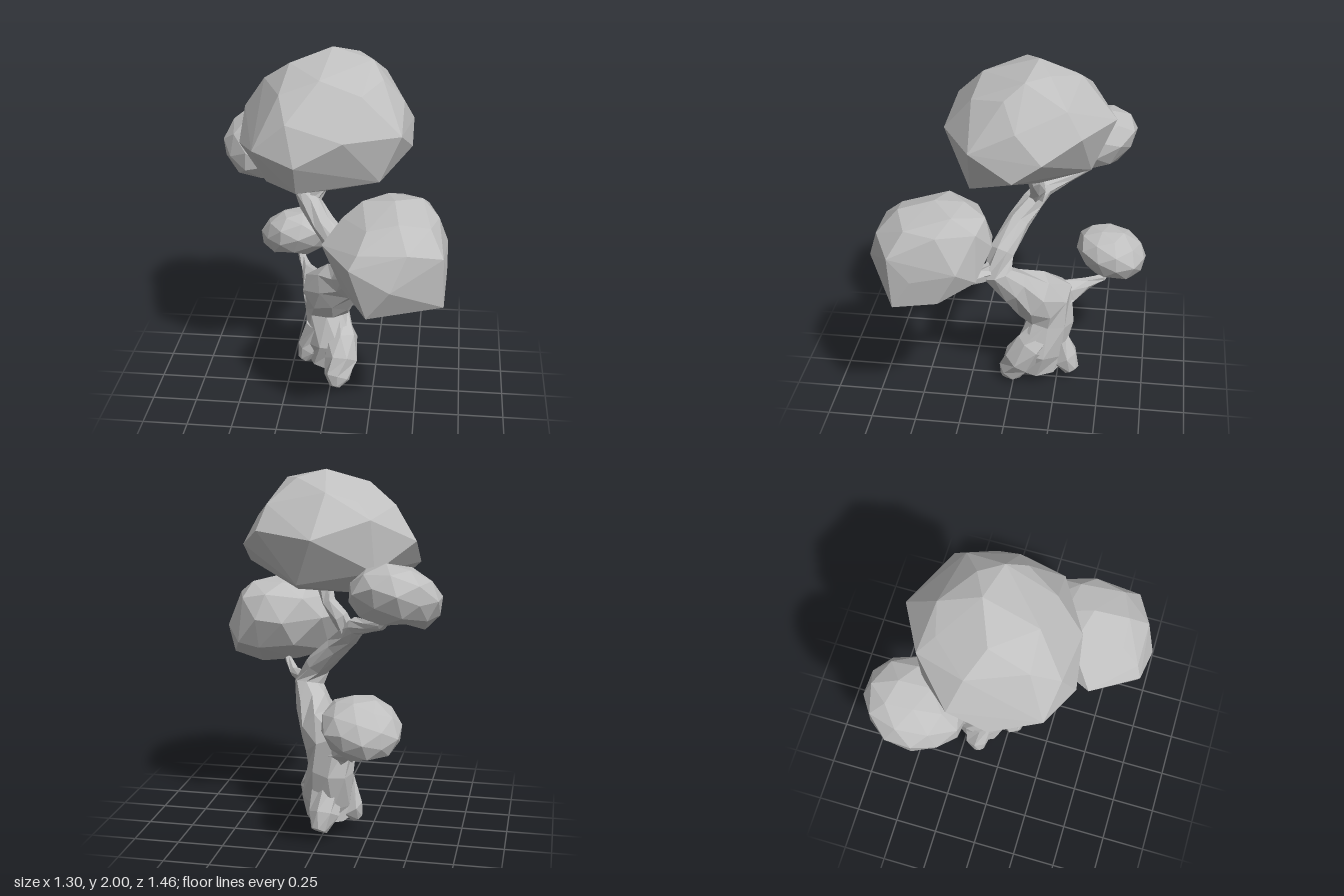
import * as THREE from 'three';
import { ConvexGeometry } from 'three/addons/geometries/ConvexGeometry.js';

const grey = new THREE.MeshStandardMaterial({ color: 0xbfbfbf, flatShading: true });
grey.name = 'clay grey';

function part(name, geometry) {
  const mesh = new THREE.Mesh(geometry, grey);
  mesh.name = name;
  return mesh;
}

// Limb through stations [x, y, z, half width across, half width along]
function limb(stations, sides = 7) {
  const across = new THREE.Vector3(1, 0, -1).normalize();
  const centres = stations.map(s => new THREE.Vector3(s[0], s[1], s[2]));
  const pos = [], idx = [], last = stations.length - 1;
  stations.forEach(([, , , a, b = a], i) => {
    const t = centres[Math.min(i + 1, last)].clone().sub(centres[Math.max(i - 1, 0)]).normalize();
    const u = across.clone().addScaledVector(t, -across.dot(t)).normalize();
    const v = t.clone().cross(u);
    for (let j = 0; j < sides; j++) {
      const w = (j + (i % 2) * 0.4) / sides * Math.PI * 2;
      const p = centres[i].clone().addScaledVector(u, a * Math.cos(w)).addScaledVector(v, b * Math.sin(w));
      pos.push(p.x, p.y, p.z);
    }
  });
  const start = pos.length / 3;
  pos.push(...centres[0].toArray(), ...centres[last].toArray());
  for (let j = 0; j < sides; j++) {
    const k = (j + 1) % sides, top = last * sides;
    for (let i = 0; i < last; i++) {
      const a = i * sides + j, b = i * sides + k;
      idx.push(a, b, b + sides, a, b + sides, a + sides);
    }
    idx.push(start, k, j, start + 1, top + j, top + k);
  }
  const g = new THREE.BufferGeometry();
  g.setAttribute('position', new THREE.Float32BufferAttribute(pos, 3));
  g.setIndex(idx);
  g.computeVertexNormals();
  return g;
}

// Faceted crown from its corner points
const hull = points => new ConvexGeometry(points.map(p => new THREE.Vector3(...p)));

// Small rounded crown: an uneven, sheared ball with a dented underside
function puff(centre, half, shearX, shearZ) {
  const g = new THREE.IcosahedronGeometry(1, 1);
  g.rotateX(0.4).rotateY(0.7);
  const p = g.attributes.position;
  for (let i = 0; i < p.count; i++) {
    const x = p.getX(i), y = p.getY(i), z = p.getZ(i);
    const r = 1 + 0.05 * Math.sin(7 * x + 3 * y) * Math.cos(5 * z - 2 * y);
    const px = x * r * half[0], pz = z * r * half[2];
    const py = (y < -0.9 ? -0.65 : y) * r * half[1];
    p.setXYZ(i, centre[0] + px, centre[1] + py + shearX * px + shearZ * pz, centre[2] + pz);
  }
  g.computeVertexNormals();
  return g;
}

export function createModel() {
  const tree = new THREE.Group();
  tree.name = 'tree';

  // Twisting trunk, running on into the upper rear branch
  tree.add(part('trunk', limb([
    [-0.02, 0.08, -0.15, 0.12, 0.14], [-0.01, 0.2, -0.15, 0.135, 0.165], [-0.04, 0.38, -0.21, 0.12, 0.14],
    [-0.04, 0.5, -0.185, 0.135, 0.175], [0.03, 0.59, -0.1, 0.125, 0.145], [0.1, 0.68, 0, 0.1, 0.1],
    [0.14, 0.78, 0.08, 0.085, 0.085], [0.085, 0.89, 0.06, 0.08, 0.07], [-0.04, 1.02, -0.02, 0.068, 0.063],
    [-0.12, 1.11, -0.09, 0.065, 0.063], [-0.17, 1.17, -0.15, 0.055, 0.05], [-0.26, 1.2, -0.27, 0.035, 0.035],
    [-0.34, 1.23, -0.38, 0.025, 0.025], [-0.39, 1.28, -0.42, 0.015, 0.015]], 8)));

  // Roots
  const roots = {
    frontRoot: [[0.01, 0.36, -0.18, 0.08], [0.05, 0.25, -0.11, 0.1], [0.06, 0.15, -0.03, 0.1, 0.09],
      [0.04, 0.06, 0.02, 0.08, 0.07], [0.03, 0.015, 0.055, 0.03]],
    rearRoot: [[-0.02, 0.3, -0.21, 0.09], [-0.02, 0.14, -0.29, 0.085], [0, 0.06, -0.34, 0.045]],
    sideRoot: [[-0.08, 0.29, -0.17, 0.09], [-0.14, 0.14, -0.16, 0.075], [-0.18, 0.08, -0.14, 0.035]],
  };
  for (const [name, s] of Object.entries(roots)) tree.add(part(name, limb(s)));

  // Branches
  const branches = {
    topBranch: [[-0.13, 1.1, -0.1, 0.05], [-0.07, 1.21, -0.12, 0.047], [-0.01, 1.29, -0.11, 0.04], [0.02, 1.39, -0.09, 0.045]],
    frontBranch: [[0.11, 0.81, 0.07, 0.06], [0.19, 0.78, 0.17, 0.04], [0.27, 0.785, 0.27, 0.03], [0.33, 0.84, 0.36, 0.02]],
    lowBranch: [[-0.07, 0.48, -0.2, 0.12], [-0.13, 0.525, -0.3, 0.075], [-0.18, 0.55, -0.4, 0.035],
      [-0.22, 0.575, -0.49, 0.024], [-0.25, 0.66, -0.54, 0.015]],
  };
  for (const [name, s] of Object.entries(branches)) tree.add(part(name, limb(s, 6)));

  // Large top crown
  tree.add(part('topCrown', hull([
    [0, 2, -0.13], [0.22, 1.95, -0.08], [0.14, 1.96, -0.2], [-0.22, 1.93, -0.04], [-0.04, 1.9, 0.17], [-0.04, 1.9, -0.35],
    [0.28, 1.87, 0.02], [0.28, 1.83, -0.3], [-0.25, 1.82, 0.18], [-0.2, 1.85, -0.31],
    [0.39, 1.74, -0.05], [0.18, 1.83, 0.2], [-0.2, 1.71, 0.33], [-0.37, 1.82, -0.12], [-0.28, 1.77, -0.39],
    [0, 1.68, -0.54], [0.32, 1.7, -0.38], [0.44, 1.6, -0.19], [0.44, 1.49, -0.04], [0.39, 1.62, 0.19],
    [0.1, 1.63, 0.36], [-0.15, 1.5, 0.4], [-0.38, 1.55, 0.29], [-0.49, 1.64, -0.18], [-0.49, 1.5, 0.03],
    [0.28, 1.37, 0.2], [0.05, 1.34, 0.25], [-0.14, 1.31, 0.13], [-0.31, 1.33, 0.1], [-0.32, 1.35, 0.2],
    [-0.15, 1.33, 0.31], [0.15, 1.36, -0.15], [0.1, 1.43, -0.42], [-0.2, 1.36, -0.2], [-0.3, 1.5, -0.37]])));

  // Front crown
  tree.add(part('frontCrown', hull([
    [0.37, 1.34, 0.37], [0.51, 1.315, 0.26], [0.2, 1.31, 0.32], [0.4, 1.29, 0.56], [0.33, 1.32, 0.22],
    [0.1, 1.23, 0.36], [0.24, 1.25, 0.57], [0.45, 1.17, 0.67], [0.2, 1.16, 0.67], [0.56, 1.25, 0.5],
    [0, 1.11, 0.45], [0.16, 1.09, 0.7], [0.37, 0.99, 0.73], [0.63, 1.12, 0.58], [0.65, 1.0, 0.46],
    [0.65, 1.06, 0.22], [0.6, 1.24, 0.33], [0.54, 1.24, 0.13], [0.45, 1.13, 0.06], [0.3, 1.11, 0.08],
    [0.1, 1.12, 0.23], [0.4, 1.27, 0.1], [0.2, 1.24, 0.17], [0.1, 0.88, 0.46], [0.25, 0.82, 0.69],
    [0.51, 0.79, 0.47], [0.64, 0.84, 0.56], [0.64, 0.88, 0.32], [0.28, 0.83, 0.42], [0.57, 0.98, 0.13],
    [0.45, 0.95, 0.14], [0.25, 0.97, 0.16]])));

  // Small rear crowns
  tree.add(part('upperRearCrown', puff([-0.41, 1.37, -0.38], [0.245, 0.183, 0.27], 0.05, -0.22)));
  tree.add(part('lowerRearCrown', puff([-0.265, 0.725, -0.535], [0.212, 0.158, 0.203], 0.1, 0.18)));

  return tree;
}
